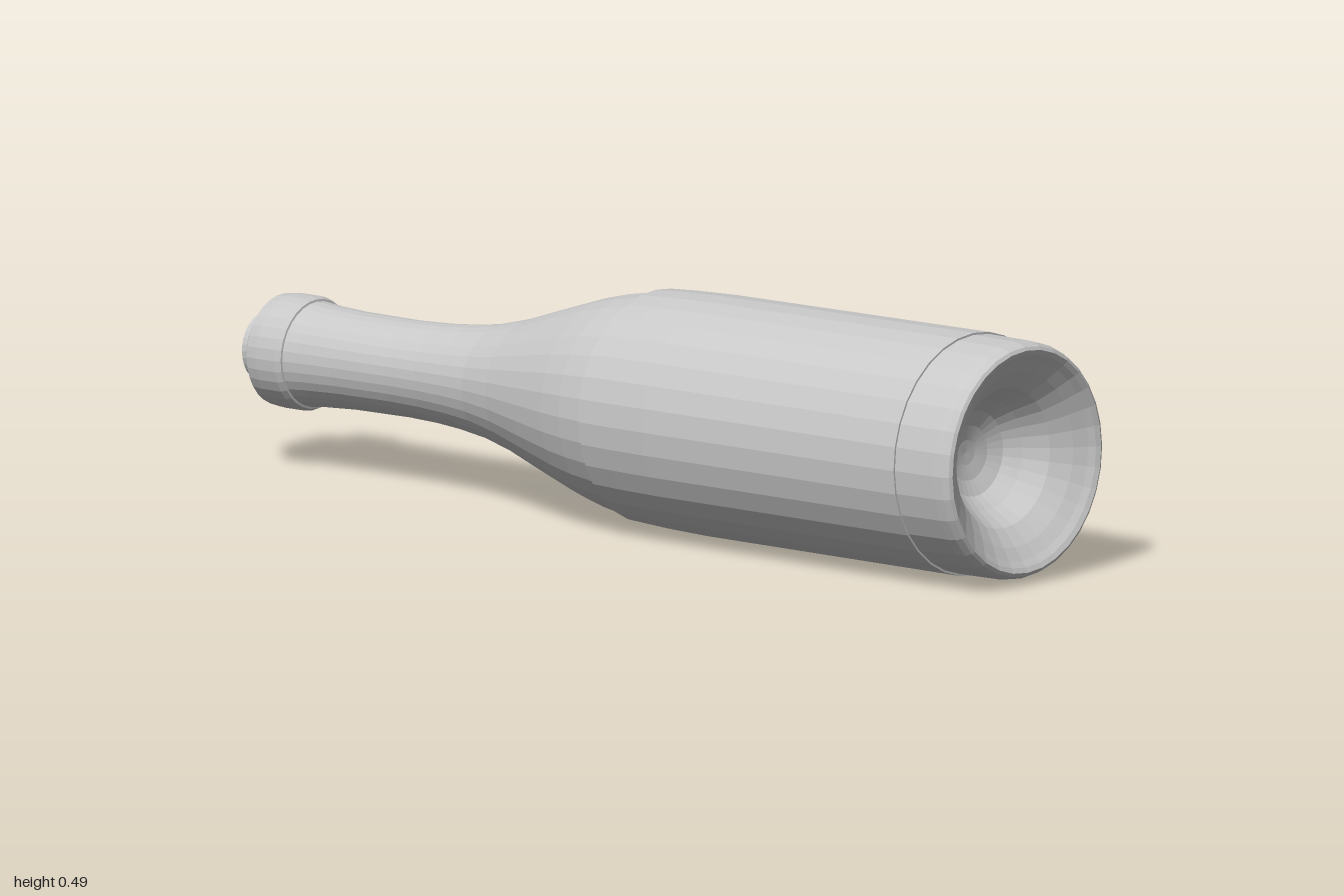
import * as THREE from 'three';

export function createModel() {
  const glass = new THREE.MeshStandardMaterial({ color: 0xc8c8c8, flatShading: true });
  glass.name = 'pale grey';
  const bottle = new THREE.Group();
  bottle.name = 'bottle';

  // Turn a profile of [position along x, radius] around the x axis
  const turn = (name, profile) => {
    const points = profile.map(([x, r]) => new THREE.Vector2(r, x));
    const geometry = new THREE.LatheGeometry(points, 32);
    geometry.rotateZ(-Math.PI / 2);
    const mesh = new THREE.Mesh(geometry, glass);
    mesh.name = name;
    bottle.add(mesh);
  };

  // Cork poking out of the mouth
  turn('cork', [[-1, 0], [-1, 0.06], [-0.993, 0.07], [-0.94, 0.07]]);

  // Thick ring around the mouth
  turn('lip', [
    [-0.955, 0], [-0.955, 0.1], [-0.945, 0.111], [-0.92, 0.114],
    [-0.87, 0.114], [-0.858, 0.109], [-0.855, 0.09],
  ]);

  // Neck, shoulder, side wall and the hollow in the base
  turn('body', [
    [-0.87, 0.106], [-0.82, 0.101], [-0.74, 0.097], [-0.6, 0.096], [-0.52, 0.099],
    [-0.45, 0.105], [-0.38, 0.115], [-0.3, 0.135], [-0.2, 0.168], [-0.1, 0.2],
    [-0.04, 0.215], [0.02, 0.225], [0.1, 0.23], [0.2, 0.234], [0.86, 0.238],
    [0.96, 0.237], [0.98, 0.235], [0.993, 0.229], [0.997, 0.222],
    [0.992, 0.212], [0.982, 0.2], [0.965, 0.175], [0.935, 0.14],
    [0.89, 0.11], [0.86, 0.085], [0.845, 0.055], [0.838, 0.025], [0.836, 0],
  ]);

  // Thin label wrapped around the side wall
  turn('label', [
    [0.03, 0.22], [0.03, 0.232], [0.1, 0.236], [0.2, 0.239], [0.86, 0.242], [0.86, 0.23],
  ]);

  // The bottle lies almost level, with the base slightly raised
  bottle.rotation.set(0, 0.006, 0.0095);
  bottle.position.set(0, 0.24, 0.003);

  const model = new THREE.Group();
  model.name = 'lyingBottle';
  model.add(bottle);
  return model;
}
